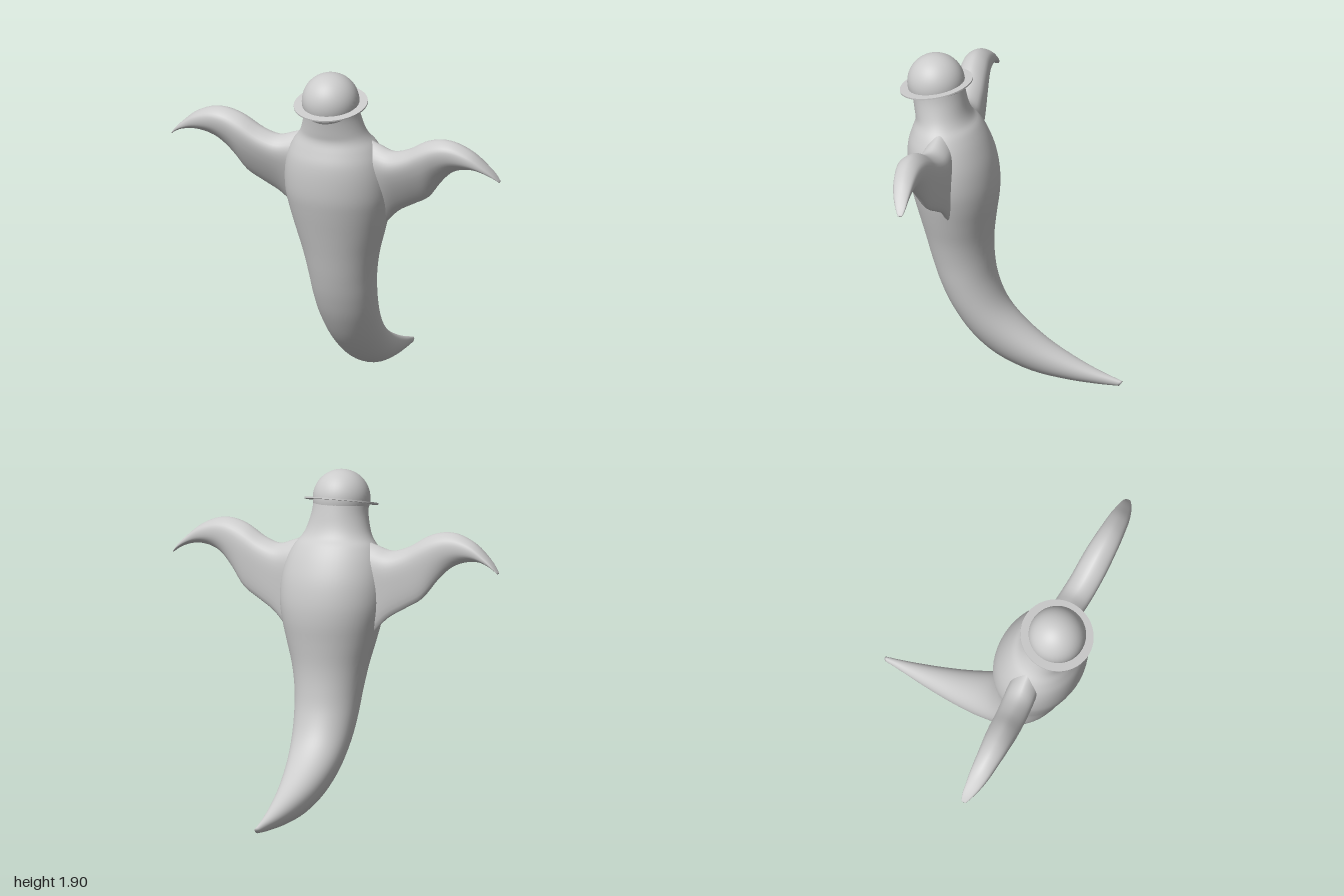
import * as THREE from 'three';

const material = new THREE.MeshStandardMaterial({ color: 0xcccccc });

// Smooth interpolation through rows of numbers (Catmull-Rom per column)
function refine(rows, steps) {
  const out = [];
  const row = (i) => rows[Math.min(Math.max(i, 0), rows.length - 1)];
  for (let i = 0; i < rows.length - 1; i++) {
    for (let s = 0; s < steps; s++) {
      const t = s / steps;
      out.push(row(i).map((p1, k) => {
        const p0 = row(i - 1)[k], p2 = row(i + 1)[k], p3 = row(i + 2)[k];
        return p1 + 0.5 * t * (p2 - p0 + t * (2 * p0 - 5 * p1 + 4 * p2 - p3 + t * (3 * (p1 - p2) + p3 - p0)));
      }));
    }
  }
  out.push(row(rows.length - 1));
  return out;
}

// Skin over closed rings of points, with both ends capped
function loft(rings, flip) {
  const n = rings[0].length, pos = [], idx = [];
  const tri = (a, b, c) => (flip ? idx.push(a, c, b) : idx.push(a, b, c));
  rings.forEach((r) => r.forEach((p) => pos.push(p.x, p.y, p.z)));
  for (let i = 0; i < rings.length - 1; i++) {
    for (let j = 0; j < n; j++) {
      const a = i * n + j, b = i * n + (j + 1) % n;
      tri(a, a + n, b);
      tri(b, a + n, b + n);
    }
  }
  [0, rings.length - 1].forEach((r) => {
    const c = rings[r].reduce((s, p) => s.add(p), new THREE.Vector3()).divideScalar(n);
    const ci = pos.length / 3;
    pos.push(c.x, c.y, c.z);
    for (let j = 0; j < n; j++) {
      const a = r * n + j, b = r * n + (j + 1) % n;
      r === 0 ? tri(ci, a, b) : tri(ci, b, a);
    }
  });
  const g = new THREE.BufferGeometry();
  g.setAttribute('position', new THREE.Float32BufferAttribute(pos, 3));
  g.setIndex(idx);
  g.computeVertexNormals();
  return g;
}

function addMesh(group, name, geometry) {
  const mesh = new THREE.Mesh(geometry, material);
  mesh.name = name;
  group.add(mesh);
  return mesh;
}

// Neck to tail tip: front z, front y, back z, back y, half width
const bodySections = [
  [0.585, 1.745, 0.285, 1.77, 0.152],
  [0.565, 1.67, 0.268, 1.68, 0.158],
  [0.548, 1.58, 0.25, 1.6, 0.18],
  [0.542, 1.53, 0.225, 1.545, 0.205],
  [0.56, 1.47, 0.185, 1.5, 0.245],
  [0.58, 1.4, 0.14, 1.42, 0.28],
  [0.585, 1.31, 0.1, 1.31, 0.302],
  [0.577, 1.2, 0.08, 1.19, 0.305],
  [0.555, 1.1, 0.08, 1.08, 0.288],
  [0.52, 0.97, 0.095, 0.96, 0.256],
  [0.485, 0.84, 0.108, 0.83, 0.22],
  [0.445, 0.69, 0.105, 0.71, 0.195],
  [0.4, 0.555, 0.085, 0.58, 0.182],
  [0.335, 0.415, 0.03, 0.445, 0.168],
  [0.23, 0.26, -0.065, 0.335, 0.148],
  [0.09, 0.135, -0.21, 0.225, 0.119],
  [-0.1, 0.05, -0.36, 0.143, 0.085],
  [-0.3, 0.015, -0.49, 0.085, 0.053],
  [-0.48, 0.004, -0.58, 0.053, 0.028],
  [-0.615, 0.005, -0.638, 0.033, 0.013],
];

function bodyRing([fz, fy, bz, by, w]) {
  return Array.from({ length: 48 }, (_, j) => {
    const a = (j / 48) * Math.PI * 2, c = Math.cos(a) / 2;
    return new THREE.Vector3(Math.sin(a) * w, (fy + by) / 2 + c * (fy - by), (fz + bz) / 2 + c * (fz - bz));
  });
}

// Fin root to tip: x, top y, bottom y, front z, back z, roundness of the section
const finSections = [
  [0.16, 1.54, 0.94, 0.43, 0.265, 0],
  [0.26, 1.505, 1.02, 0.44, 0.265, 0],
  [0.35, 1.48, 1.11, 0.45, 0.272, 0],
  [0.45, 1.51, 1.17, 0.46, 0.285, 0.05],
  [0.55, 1.568, 1.23, 0.468, 0.295, 0.15],
  [0.63, 1.595, 1.33, 0.47, 0.305, 0.3],
  [0.7, 1.6, 1.4, 0.468, 0.315, 0.5],
  [0.77, 1.585, 1.435, 0.46, 0.322, 0.7],
  [0.85, 1.545, 1.447, 0.447, 0.327, 0.9],
  [0.92, 1.485, 1.435, 0.425, 0.333, 1],
  [0.97, 1.435, 1.412, 0.4, 0.338, 1],
  [1.0, 1.397, 1.39, 0.378, 0.35, 1],
];
// Unit outlines (z, y): a leaning teardrop at the root and an oval at the tip
const teardrop = [[0.55, 1], [0.97, 0.84], [0.82, 0.5], [0.14, 0], [0, 0.45], [0.1, 0.86]];
const oval = [[0.5, 1], [0.93, 0.75], [0.93, 0.25], [0.5, 0], [0.07, 0.25], [0.07, 0.75]];

function finRing([x, top, bottom, front, back, round], side) {
  const points = teardrop.map(([z, y], i) => new THREE.Vector3(
    side * x,
    THREE.MathUtils.lerp(bottom, top, THREE.MathUtils.lerp(y, oval[i][1], round)),
    THREE.MathUtils.lerp(back, front, THREE.MathUtils.lerp(z, oval[i][0], round))));
  const curve = new THREE.CatmullRomCurve3(points, true);
  return Array.from({ length: 36 }, (_, j) => curve.getPoint(j / 36));
}

export function createModel() {
  const model = new THREE.Group();
  model.name = 'finnedCreature';

  addMesh(model, 'body', loft(refine(bodySections, 4).map(bodyRing), false));

  // Mirrored fins
  for (const side of [1, -1]) {
    const rings = refine(finSections, 4).map((s) => finRing(s, side));
    addMesh(model, side > 0 ? 'leftFin' : 'rightFin', loft(rings, side > 0));
  }

  // Domed head and the tilted brim around it
  const head = addMesh(model, 'head', new THREE.SphereGeometry(0.16, 40, 28));
  head.position.set(0, 1.745, 0.434);
  const brim = addMesh(model, 'brim', new THREE.CylinderGeometry(0.206, 0.206, 0.008, 56));
  brim.position.set(0, 1.728, 0.432);
  brim.rotation.x = 0.195;

  return model;
}
